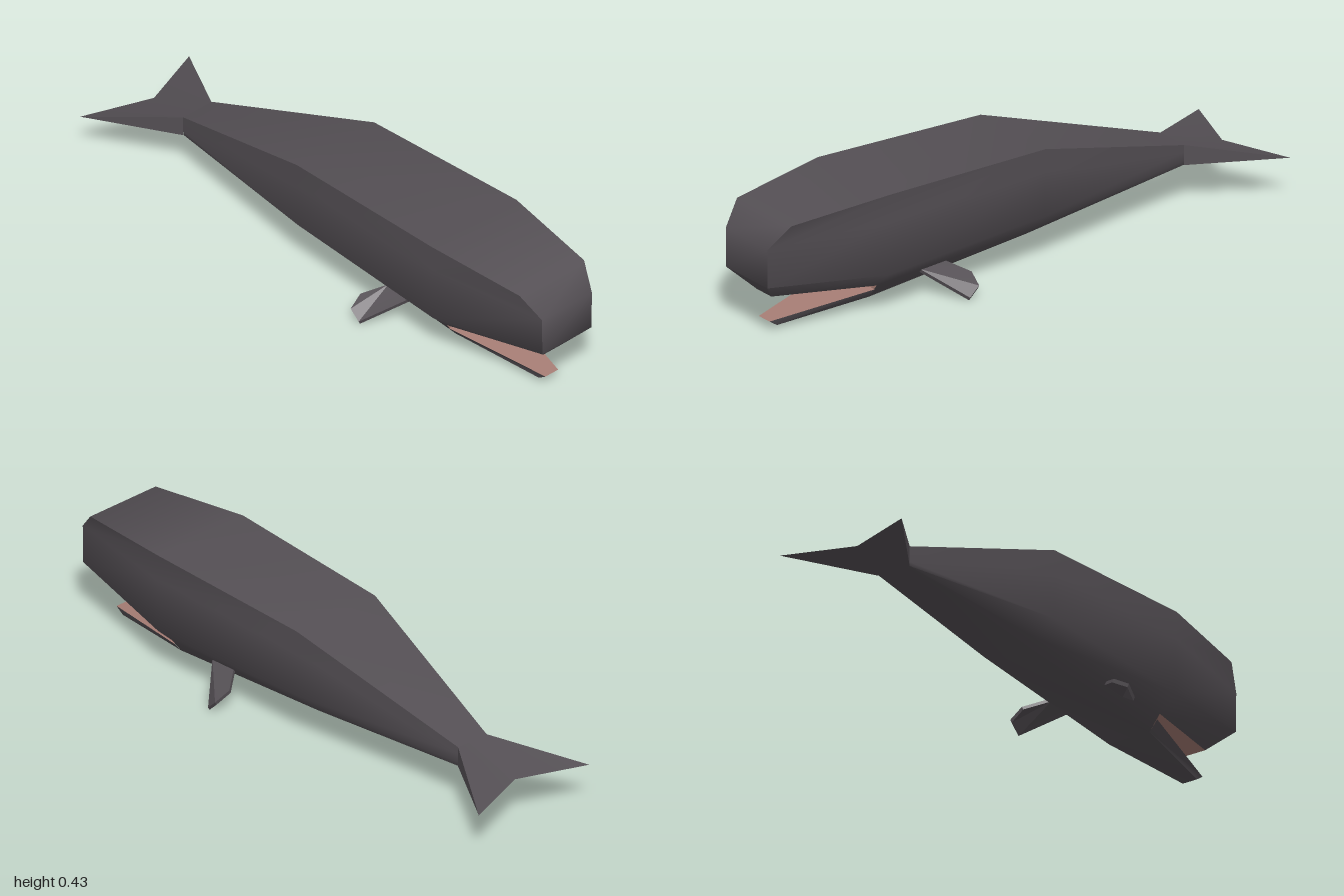
import * as THREE from 'three';
import { toCreasedNormals } from 'three/addons/utils/BufferGeometryUtils.js';

const mirror = ([x, y, z]) => [-x, y, z];

// mesh from a list of polygons, each fanned into triangles
function polyMesh(name, polys, material, crease = 0.95) {
  const pos = [];
  for (const p of polys)
    for (let i = 1; i < p.length - 1; i++) pos.push(...p[0], ...p[i], ...p[i + 1]);
  const g = new THREE.BufferGeometry();
  g.setAttribute('position', new THREE.Float32BufferAttribute(pos, 3));
  const mesh = new THREE.Mesh(toCreasedNormals(g, crease), material);
  mesh.name = name;
  return mesh;
}

// half section (top to bottom) to a full symmetric ring
const ring = (half) => [...half, ...half.map(mirror).reverse()];

// quads between two half sections, a behind b; one quad per ring edge
function loft(a, b) {
  const ra = ring(a), rb = ring(b), n = ra.length;
  return ra.map((p, i) => [p, rb[i], rb[(i + 1) % n], ra[(i + 1) % n]]);
}

// strips across the front end of a half section
function frontCap(half) {
  const strips = [];
  for (let i = 0; i < half.length - 1; i++)
    strips.push([half[i], mirror(half[i]), mirror(half[i + 1]), half[i + 1]]);
  return strips;
}

const at = (z, pts) => pts.map(([x, y]) => [x, y, z]);

export function createModel() {
  const skin = new THREE.MeshStandardMaterial({ color: 0x544f54 });
  skin.name = 'dark grey skin';
  const flesh = new THREE.MeshStandardMaterial({ color: 0xa67d74 });
  flesh.name = 'pink mouth';
  const whale = new THREE.Group();
  whale.name = 'whale';

  // cross-sections from tail stock to jaw hinge
  const tail = at(-0.71, [[0.062, 0.215], [0.062, 0.19], [0.062, 0.16], [0.061, 0.146], [0.05, 0.145]]);
  const middle = at(-0.07, [[0.17, 0.413], [0.169, 0.33], [0.165, 0.175], [0.11, 0.115], [0.075, 0.086]]);
  const hinge = at(0.57, [[0.187, 0.433], [0.185, 0.34], [0.18, 0.15], [0.12, 0.093], [0.08, 0.04]]);
  const snout = [[0.142, 0.405, 0.93], [0.11, 0.33, 1], [0.108, 0.195, 1], [0.038, 0.123, 0.93]];

  // body and head; the underside of the head is the mouth roof
  const head = loft(hinge.slice(0, 4), snout);
  const [roof] = head.splice(3, 1);
  whale.add(polyMesh('body', [
    ...loft(tail, middle), ...loft(middle, hinge), ...head, ...frontCap(snout),
  ], skin));
  const throat = frontCap(hinge.slice(3))[0];
  whale.add(polyMesh('mouthRoof', [roof, throat], flesh));

  // lower jaw with a pink upper face
  const jawBack = [[0.11, 0.076, 0.57], [0.08, 0.04, 0.57]];
  const jawTip = [[0.028, 0.032, 0.93], [0.028, 0.012, 0.9]];
  const jaw = loft(jawBack, jawTip);
  const jawTop = jaw.pop();
  whale.add(polyMesh('lowerJaw', [...jaw, ...frontCap(jawTip)], skin));
  whale.add(polyMesh('mouthFloor', [jawTop], flesh));

  // tail flukes
  const top = [0.062, 0.215, -0.71], bottom = [0.062, 0.145, -0.71];
  const tip = [0.24, 0.155, -1], notch = [0, 0.157, -0.91];
  const half = [[top, tip, notch], [bottom, notch, tip], [top, bottom, tip]];
  whale.add(polyMesh('tailFlukes', [
    ...half,
    ...half.map((t) => t.map(mirror).reverse()),
    [top, notch, mirror(top)],
    [bottom, mirror(bottom), notch],
  ], skin));

  // flippers
  const low = [[0.105, 0.088, 0.39], [0.226, 0, 0.28], [0.228, 0.034, 0.245],
    [0.175, 0.062, 0.235], [0.105, 0.092, 0.29]];
  const high = low.map(([x, y, z]) => [x + 0.006, y + 0.011, z]);
  const fin = [high, [...low].reverse()];
  low.forEach((p, i) => {
    const j = (i + 1) % low.length;
    fin.push([p, low[j], high[j], high[i]]);
  });
  whale.add(polyMesh('leftFlipper', fin, skin, 0.5));
  whale.add(polyMesh('rightFlipper', fin.map((p) => p.map(mirror).reverse()), skin, 0.5));

  return whale;
}
